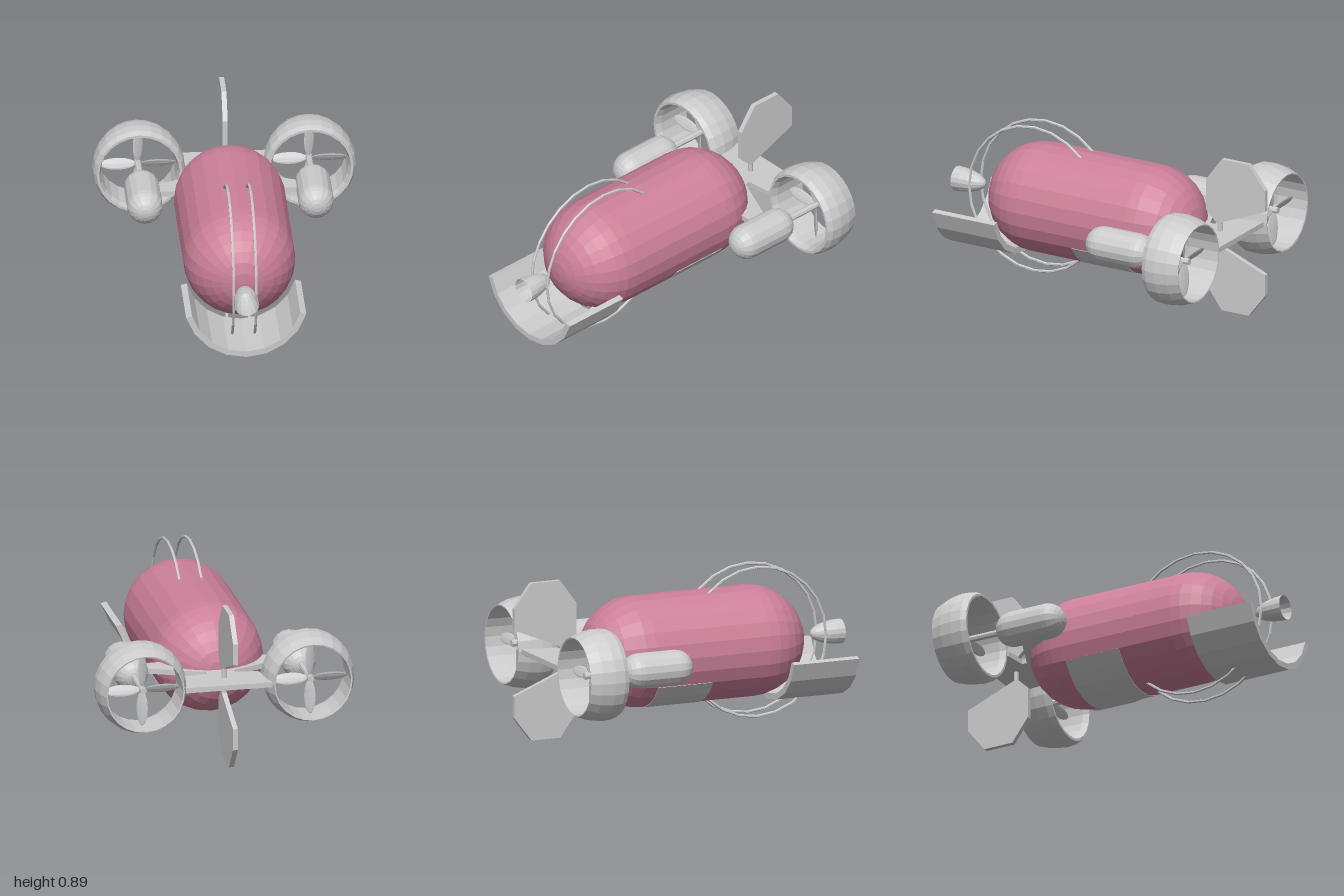
import * as THREE from 'three';

const grey = new THREE.MeshStandardMaterial({ color: 0xcccccc, flatShading: true });
const greyOpen = new THREE.MeshStandardMaterial({ color: 0xcccccc, flatShading: true, side: THREE.DoubleSide });
const pink = new THREE.MeshStandardMaterial({ color: 0xc9829b, flatShading: true });
pink.color.set(0xcc8099);

const AXIS_Y = 0.45; // height of the hull axis

function add(parent, name, geometry, x = 0, y = 0, z = 0, material = grey) {
  const mesh = new THREE.Mesh(geometry, material);
  mesh.name = name;
  mesh.position.set(x, y, z);
  parent.add(mesh);
  return mesh;
}

const toShape = (pts) => new THREE.Shape(pts.map(([x, y]) => new THREE.Vector2(x, y)));
const extrude = (pts, depth) => new THREE.ExtrudeGeometry(toShape(pts), { depth, bevelEnabled: false });

// capsule lying along z
const capsuleZ = (r, length, caps, sides) =>
  new THREE.CapsuleGeometry(r, length - 2 * r, caps, sides).rotateX(Math.PI / 2);

// lathe around z, points as [radius, z]
const latheZ = (pts, sides) =>
  new THREE.LatheGeometry(pts.map(([r, z]) => new THREE.Vector2(r, z)), sides).rotateX(Math.PI / 2);

// curved plate hugging the underside of the hull
function arcPlate(rIn, rOut, halfAngle, segments, depth) {
  const pts = [];
  const arc = (r, from, to) => {
    for (let i = 0; i <= segments; i++) {
      const a = from + ((to - from) * i) / segments;
      pts.push([r * Math.sin(a), -r * Math.cos(a)]);
    }
  };
  arc(rOut, -halfAngle, halfAngle);
  arc(rIn, halfAngle, -halfAngle);
  return extrude(pts, depth);
}

// pod with shaft, propeller and duct
function createThruster(side) {
  const g = new THREE.Group();
  g.name = side > 0 ? 'leftThruster' : 'rightThruster';
  g.position.set(side * 0.475, AXIS_Y, 0);

  add(g, 'motorPod', capsuleZ(0.099, 0.42, 6, 16), 0, 0, -0.345);
  add(g, 'shaft', new THREE.CylinderGeometry(0.019, 0.019, 0.26, 8).rotateX(Math.PI / 2), 0, 0, -0.66);

  const profile = [
    [0.214, -0.848], [0.222, -0.85], [0.246, -0.785], [0.257, -0.715], [0.253, -0.655],
    [0.238, -0.625], [0.224, -0.625], [0.213, -0.66], [0.212, -0.75], [0.214, -0.848],
  ];
  add(g, 'duct', latheZ(profile, 24));

  const propeller = new THREE.Group();
  propeller.name = 'propeller';
  propeller.position.z = -0.755;
  for (let i = 0; i < 4; i++) {
    const blade = new THREE.SphereGeometry(1, 8, 8).scale(0.033, 0.1, 0.006)
      .rotateY(0.5).translate(0, 0.112, 0).rotateZ((i * Math.PI) / 2);
    add(propeller, 'blade', blade);
  }
  g.add(propeller);
  return g;
}

export function createModel() {
  const model = new THREE.Group();
  model.name = 'submersible';

  // hull and belly panel
  add(model, 'hull', capsuleZ(0.311, 1.317, 8, 24), 0, AXIS_Y, 0.0865, pink);
  add(model, 'bellyPanel', arcPlate(0.3, 0.314, Math.PI / 3, 8, 0.335), 0, AXIS_Y, -0.24);

  // curved scoop at the bow
  add(model, 'bowScoop', arcPlate(0.311, 0.345, (75 * Math.PI) / 180, 8, 0.4), 0, AXIS_Y, 0.56);

  // guard hoops around the bow
  for (const x of [-0.0625, 0.0625]) {
    const hoop = new THREE.TorusGeometry(0.422, 0.008, 6, 18, Math.PI * 1.5)
      .rotateZ(-Math.PI * 0.75).rotateY(-Math.PI / 2);
    add(model, 'guardHoop', hoop, x, AXIS_Y, 0.46);
  }

  // headlamp: an open bowl facing forward
  const bowl = [];
  for (let i = 0; i <= 6; i++) {
    const a = (i / 6) * (Math.PI / 2);
    bowl.push([0.07 * Math.sin(a), 1 - 0.187 * Math.cos(a)]);
  }
  add(model, 'headlamp', latheZ(bowl, 16), 0, AXIS_Y, 0, greyOpen);

  // horizontal plate: pod pylons, neck and tailplane in one outline
  const half = [
    [0.4, -0.37], [0.4, -0.455], [0.08, -0.59], [0.08, -0.62], [0.21, -0.635], [0.245, -0.835],
  ];
  const outline = [...half, ...half.map(([x, z]) => [-x, z]).reverse()];
  add(model, 'tailplane', extrude(outline, 0.03).rotateX(Math.PI / 2), 0, AXIS_Y + 0.015, 0);

  // upper and lower rudders on a short post
  const fin = [
    [-0.62, 0.13], [-0.62, 0.31], [-0.72, 0.445], [-0.895, 0.445],
    [-1, 0.31], [-1, 0.187], [-0.69, 0.062],
  ];
  for (const s of [1, -1]) {
    const pts = fin.map(([z, y]) => [z, y * s]);
    add(model, s > 0 ? 'upperRudder' : 'lowerRudder',
      extrude(pts, 0.028).rotateY(-Math.PI / 2), 0.014, AXIS_Y, 0);
  }
  add(model, 'rudderPost', new THREE.CylinderGeometry(0.014, 0.014, 0.17, 8), 0, AXIS_Y, -0.7);

  for (const side of [1, -1]) model.add(createThruster(side));
  return model;
}
